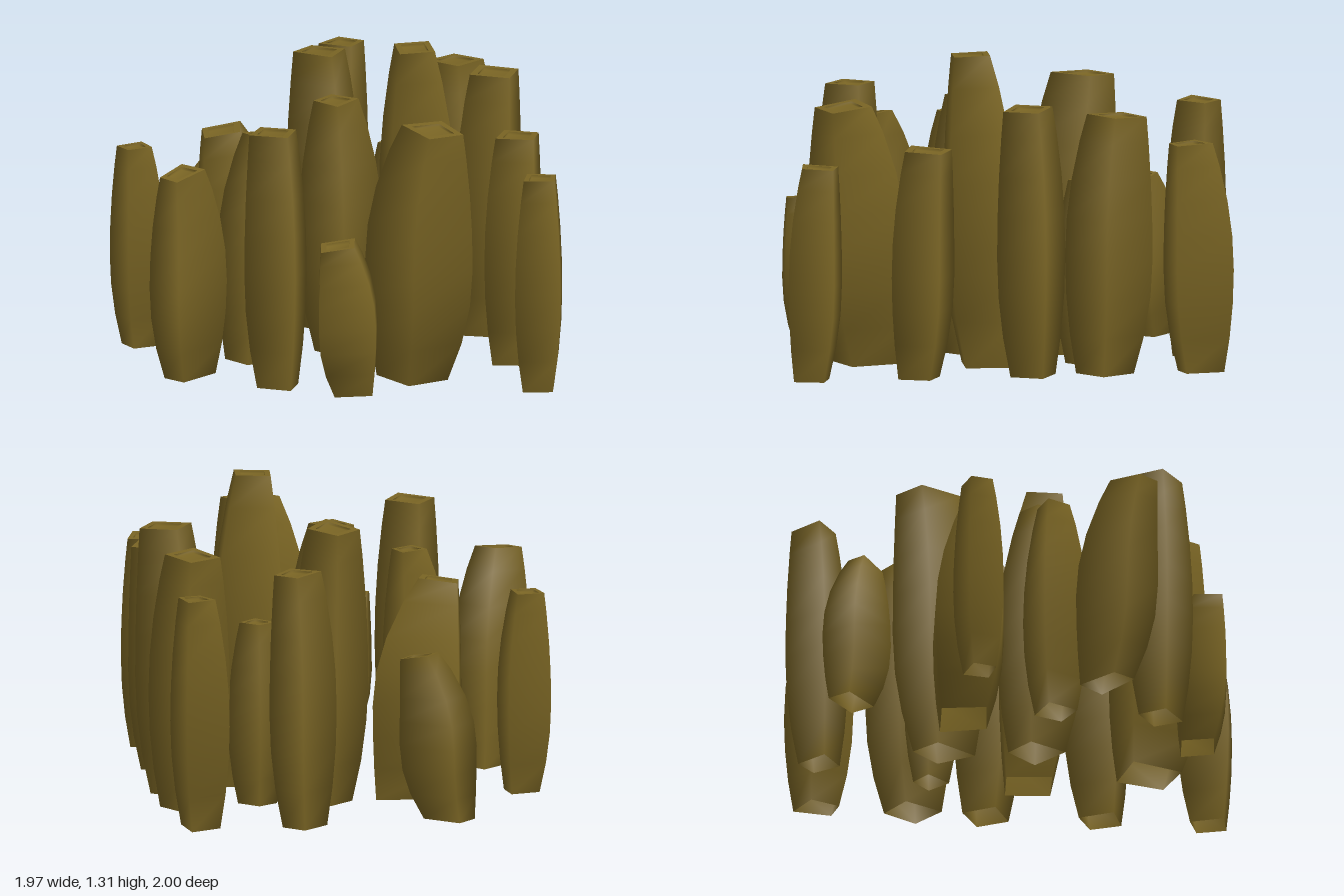
import * as THREE from 'three';

const olive = new THREE.MeshStandardMaterial({ color: 0x7a6524, side: THREE.DoubleSide });
olive.name = 'olive brown';

const WAIST = 0.45;     // height fraction of the widest section
const BASE_SCALE = 0.66;

// Skin a list of four-cornered rings; optionally close the last one
function skin(rings, capped) {
  const index = [];
  for (let r = 0; r < rings.length - 1; r++) {
    for (let i = 0; i < 4; i++) {
      const a = r * 4 + i, b = r * 4 + (i + 1) % 4;
      index.push(b, a, a + 4, b, a + 4, b + 4);
    }
  }
  if (capped) {
    const n = (rings.length - 1) * 4;
    index.push(n, n + 3, n + 2, n, n + 2, n + 1);
  }
  const g = new THREE.BufferGeometry();
  g.setAttribute('position', new THREE.Float32BufferAttribute(rings.flat(2), 3));
  g.setIndex(index);
  g.computeVertexNormals();
  return g;
}

// One bulging, leaning stalk: widest section (four x,z corners), top centre, top scale
function makeStalk(height, topX, topZ, topScale, corners) {
  const cx = corners.reduce((s, p) => s + p[0], 0) / 4;
  const cz = corners.reduce((s, p) => s + p[1], 0) / 4;
  const leanX = topX - cx, leanZ = topZ - cz;

  const ring = (t, inset = 1, drop = 0) => {
    const upper = t > WAIST;
    const u = upper ? (t - WAIST) / (1 - WAIST) : 1 - t / WAIST;
    const bend = u * u;
    const scale = (1 - (1 - (upper ? topScale : BASE_SCALE)) * bend) * inset;
    const shift = upper ? bend : -0.6 * bend;
    const tilt = upper ? 1.6 * bend / height : 0;
    return corners.map(([x, z]) => {
      const dx = (x - cx) * scale, dz = (z - cz) * scale;
      const y = t * (height - 0.01) - drop - tilt * (leanX * dx + leanZ * dz);
      return [cx + leanX * shift + dx, y, cz + leanZ * shift + dz];
    });
  };

  const stalk = new THREE.Group();
  const body = new THREE.Mesh(skin([0, 0.15, 0.3, 0.45, 0.6, 0.75, 0.9, 1].map(t => ring(t)), false), olive);
  body.name = 'stalkBody';
  // Flat rim with a slightly sunken middle
  const rim = new THREE.Mesh(skin([ring(1), ring(1, 0.68)], false), olive);
  rim.name = 'stalkRim';
  const tip = new THREE.Mesh(skin([ring(1, 0.68), ring(1, 0.66, 0.012)], true), olive);
  tip.name = 'stalkTip';
  stalk.add(body, rim, tip);
  return stalk;
}

export function createModel() {
  const model = new THREE.Group();
  model.name = 'stalkCluster';
  let count = 0;
  const add = (...args) => {
    const s = makeStalk(...args);
    s.name = 'stalk' + (++count);
    model.add(s);
  };

  // Back row
  add(0.97, 0.275, -0.81, 0.62, [[0.26, -1.0], [0.39, -0.79], [0.265, -0.70], [0.12, -0.84]]);
  add(1.09, -0.14, -0.75, 0.7, [[-0.20, -0.855], [-0.04, -0.80], [-0.09, -0.615], [-0.29, -0.655]]);
  add(0.69, -0.575, -0.395, 0.5, [[-0.76, -0.525], [-0.505, -0.45], [-0.555, -0.29], [-0.815, -0.37]]);
  add(1.09, 0.365, -0.53, 0.68, [[0.35, -0.675], [0.555, -0.53], [0.43, -0.32], [0.215, -0.49]]);

  // Middle
  add(0.78, 0.14, -0.335, 0.6, [[0.10, -0.43], [0.255, -0.375], [0.185, -0.22], [0.02, -0.305]]);
  add(1.18, -0.165, -0.26, 0.68, [[-0.215, -0.385], [0.005, -0.29], [-0.04, -0.03], [-0.30, -0.195]]);
  add(1.135, 0.575, -0.195, 0.72, [[0.445, -0.325], [0.675, -0.30], [0.655, -0.085], [0.42, -0.10]]);
  add(0.915, -0.53, 0.08, 0.45, [[-0.655, -0.065], [-0.315, -0.18], [-0.275, 0.115], [-0.59, 0.21]]);
  add(1.31, 0.285, 0.12, 0.52, [[0.38, -0.105], [0.47, 0.165], [0.20, 0.26], [0.115, -0.015]]);
  add(1.095, -0.035, 0.205, 0.53, [[-0.075, 0.025], [0.155, 0.13], [0.025, 0.37], [-0.19, 0.21]]);
  add(0.975, -0.325, 0.345, 0.5, [[-0.345, 0.22], [-0.21, 0.355], [-0.345, 0.50], [-0.51, 0.365]]);
  add(0.86, -0.88, 0.185, 0.62, [[-0.835, 0.065], [-0.745, 0.205], [-0.89, 0.30], [-0.985, 0.18]]);
  add(0.97, 0.73, 0.195, 0.75, [[0.625, 0.105], [0.82, 0.12], [0.82, 0.325], [0.61, 0.34]]);

  // Front row
  add(0.91, -0.60, 0.78, 0.58, [[-0.61, 0.53], [-0.43, 0.62], [-0.595, 0.88], [-0.73, 0.79]]);
  add(1.095, -0.215, 0.76, 0.75, [[-0.29, 0.65], [-0.085, 0.69], [-0.105, 0.885], [-0.325, 0.84]]);
  add(1.095, 0.44, 0.625, 0.57, [[0.405, 0.365], [0.60, 0.61], [0.38, 0.80], [0.14, 0.555]]);
  add(0.905, 0.885, 0.62, 0.68, [[0.79, 0.545], [0.965, 0.535], [0.985, 0.725], [0.80, 0.765]]);
  add(0.655, 0.075, 0.895, 0.58, [[0.215, 0.715], [0.24, 0.925], [0.01, 0.995], [-0.02, 0.79]]);

  return model;
}
